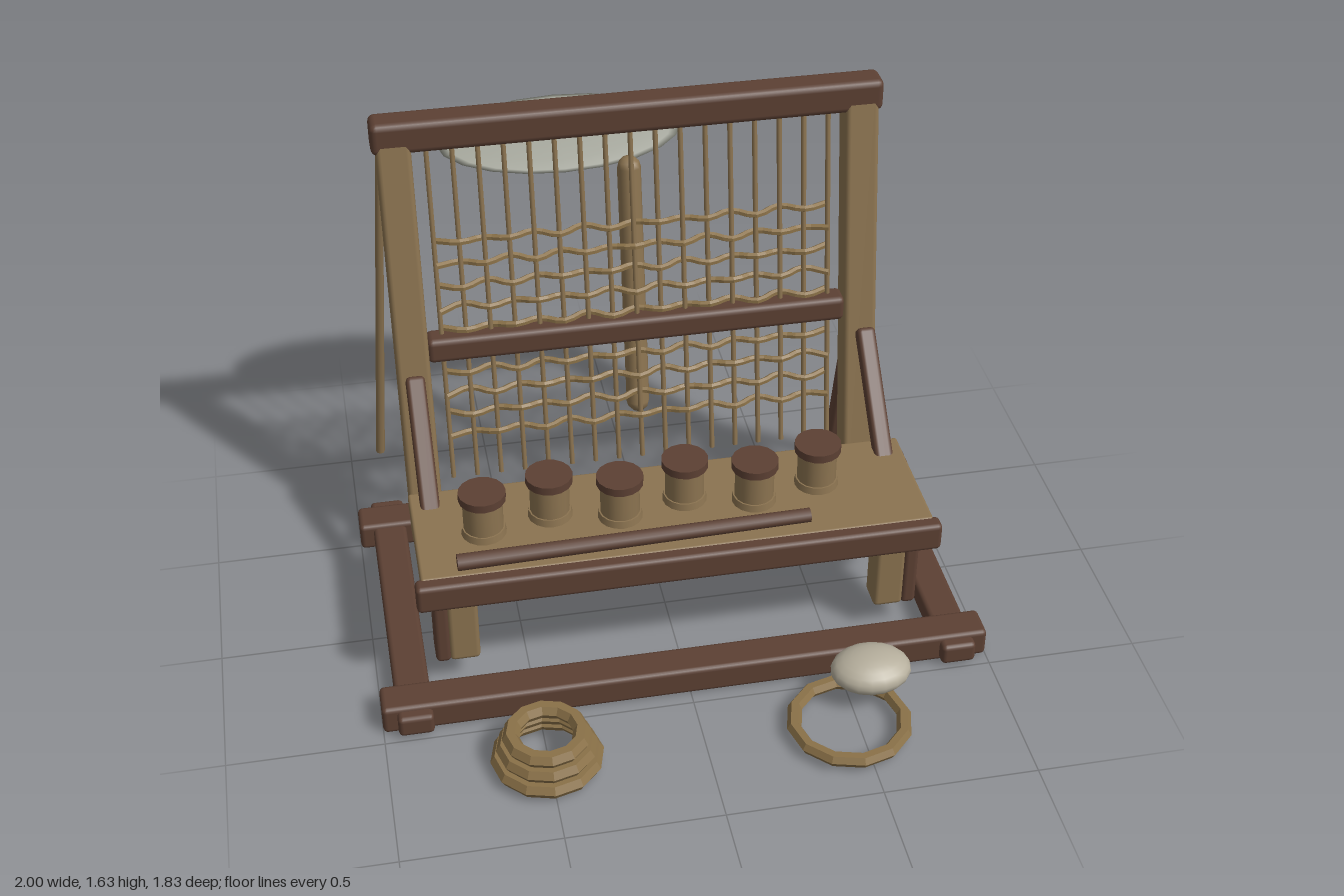
import * as THREE from 'three';
import { RoundedBoxGeometry } from 'three/addons/geometries/RoundedBoxGeometry.js';

const mat = (name, color, extra = {}) => Object.assign(new THREE.MeshStandardMaterial({ color, ...extra }), { name });

export function createModel() {
  const root = new THREE.Group();
  root.name = 'weavingLoom';
  const dark = mat('dark wood', 0x5c4033);
  const tan = mat('pale wood', 0x8b7350);
  const fibre = mat('fibre', 0x8a7148, { flatShading: true });
  const stone = mat('pale stone', 0xb5ae9c);
  const grey = mat('grey membrane', 0x94968a, { side: THREE.DoubleSide });

  const add = (name, geo, material, x = 0, y = 0, z = 0) => {
    const m = new THREE.Mesh(geo, material);
    m.name = name;
    m.position.set(x, y, z);
    root.add(m);
    return m;
  };
  const beam = (name, material, w, h, d, x, y, z, r = 0.016) =>
    add(name, new RoundedBoxGeometry(w, h, d, 2, r), material, x, y, z);
  // Turn a mesh whose length runs along y so that it spans a to b
  const span = (mesh, a, b) => {
    const p = new THREE.Vector3(...a), q = new THREE.Vector3(...b);
    mesh.position.copy(p).add(q).multiplyScalar(0.5);
    mesh.quaternion.setFromUnitVectors(new THREE.Vector3(0, 1, 0), q.sub(p).normalize());
    return mesh;
  };
  const dist = (a, b) => new THREE.Vector3(...a).distanceTo(new THREE.Vector3(...b));
  const strut = (name, material, w, d, a, b) =>
    span(beam(name, material, w, dist(a, b), d, 0, 0, 0), a, b);
  const rod = (name, material, r1, r2, sides, a, b) =>
    span(add(name, new THREE.CylinderGeometry(r2, r1, dist(a, b), sides), material), a, b);
  // Depth of the leaning frame at a given height
  const lean = y => -0.378 - 0.16 * (y - 0.11);

  // Ground frame
  beam('frontSill', dark, 2, 0.1, 0.12, 0, 0.053, 0.397);
  beam('backSill', dark, 2, 0.1, 0.12, 0, 0.053, -0.535);
  for (const s of [-1, 1]) {
    beam('sideSill', dark, 0.115, 0.075, 1.13, s * 0.895, 0.052, -0.07);

    // Leaning uprights and their braces
    strut('upright', tan, 0.112, 0.105, [s * 0.767, 0.11, lean(0.11)], [s * 0.767, 1.58, lean(1.58)]);
    strut('frontBrace', dark, 0.064, 0.055, [s * 0.768, 0.12, 0.25], [s * 0.768, 0.785, -0.385]);
    strut('backBrace', dark, 0.06, 0.055, [s * 0.768, 0.75, -0.515], [s * 0.768, 0.115, -0.675]);

    // Bench legs
    for (const z of [0.218, -0.067])
      beam('benchLeg', tan, 0.1, 0.32, 0.105, s * 0.71, 0.265, z);
    beam('benchPost', dark, 0.05, 0.32, 0.105, s * 0.78, 0.265, 0.218);
  }

  // Cross beams of the frame
  beam('topBeam', dark, 1.675, 0.11, 0.105, 0, 1.575, -0.608, 0.022);
  beam('middleBeam', dark, 1.43, 0.09, 0.085, 0, 0.825, lean(0.825), 0.02);

  // Bench
  beam('benchTop', tan, 1.67, 0.06, 0.45, 0, 0.452, 0.07, 0.01);
  beam('benchRail', dark, 1.71, 0.1, 0.06, 0, 0.43, 0.307, 0.016);

  // Row of spools on the bench
  for (let i = 0; i < 6; i++) {
    const x = -0.61 + i * 0.223, z = i % 2 ? 0.035 : 0.085;
    add('spoolFoot', new THREE.CylinderGeometry(0.07, 0.074, 0.025, 16), tan, x, 0.494, z);
    add('spoolBody', new THREE.CylinderGeometry(0.065, 0.065, 0.12, 16), tan, x, 0.56, z);
    add('spoolCap', new THREE.CylinderGeometry(0.077, 0.077, 0.028, 16), dark, x, 0.63, z);
  }
  rod('benchRod', dark, 0.028, 0.024, 10, [-0.715, 0.515, 0.265], [0.43, 0.52, 0.247]);

  // Hanging warp strands
  const strands = 17, left = -0.662, step = 1.324 / (strands - 1);
  for (let i = 0; i < strands; i++) {
    const x = left + i * step;
    rod('warpStrand', tan, 0.009, 0.009, 6, [x, 0.33, lean(0.33)], [x, 1.54, lean(1.54)]);
  }

  // Woven rows passing in front of and behind the strands
  for (let row = 0; row < 10; row++) {
    const y = 1.19 - row * 0.0775, pts = [];
    for (let i = 0; i < strands; i++) {
      const side = (i + row) % 2 ? 1 : -1;
      pts.push(new THREE.Vector3(left + i * step, y + 0.005 * Math.sin(i * 2.3 + row * 1.7), lean(y) + side * 0.016));
    }
    add('weftRow', new THREE.TubeGeometry(new THREE.CatmullRomCurve3(pts), 48, 0.0115, 6), fibre);
  }

  // Batten behind the weave
  const batten = add('batten', new THREE.CapsuleGeometry(0.04, 0.86, 3, 10), tan);
  span(batten, [0, 0.47, -0.49], [0, 1.4, -0.635]);

  // Thin pole leaning against the back
  rod('leaningPole', tan, 0.016, 0.013, 8, [-0.893, 0.15, -0.85], [-0.805, 1.54, -0.65]);

  // Thin oval membrane behind the top beam
  const oval = add('ovalMembrane', new THREE.SphereGeometry(1, 20, 8), grey, -0.207, 1.422, -0.787);
  oval.scale.set(0.41, 0.006, 0.149);
  oval.rotation.x = 0.545;

  // Coiled cord, loose hoop and stone on the ground
  const ring = (name, R, r, x, y, z) => {
    const m = add(name, new THREE.TorusGeometry(R, r, 6, 12), fibre, x, y, z);
    m.rotation.x = Math.PI / 2;
    return m;
  };
  [[0.152, 0.04], [0.132, 0.085], [0.112, 0.13]].forEach(([R, y]) => ring('cordCoil', R, 0.028, -0.505, y, 0.68));
  ring('looseHoop', 0.18, 0.024, 0.463, 0.04, 0.71);
  add('stone', new THREE.SphereGeometry(1, 18, 12), stone, 0.568, 0.118, 0.57).scale.set(0.132, 0.062, 0.106);

  return root;
}
